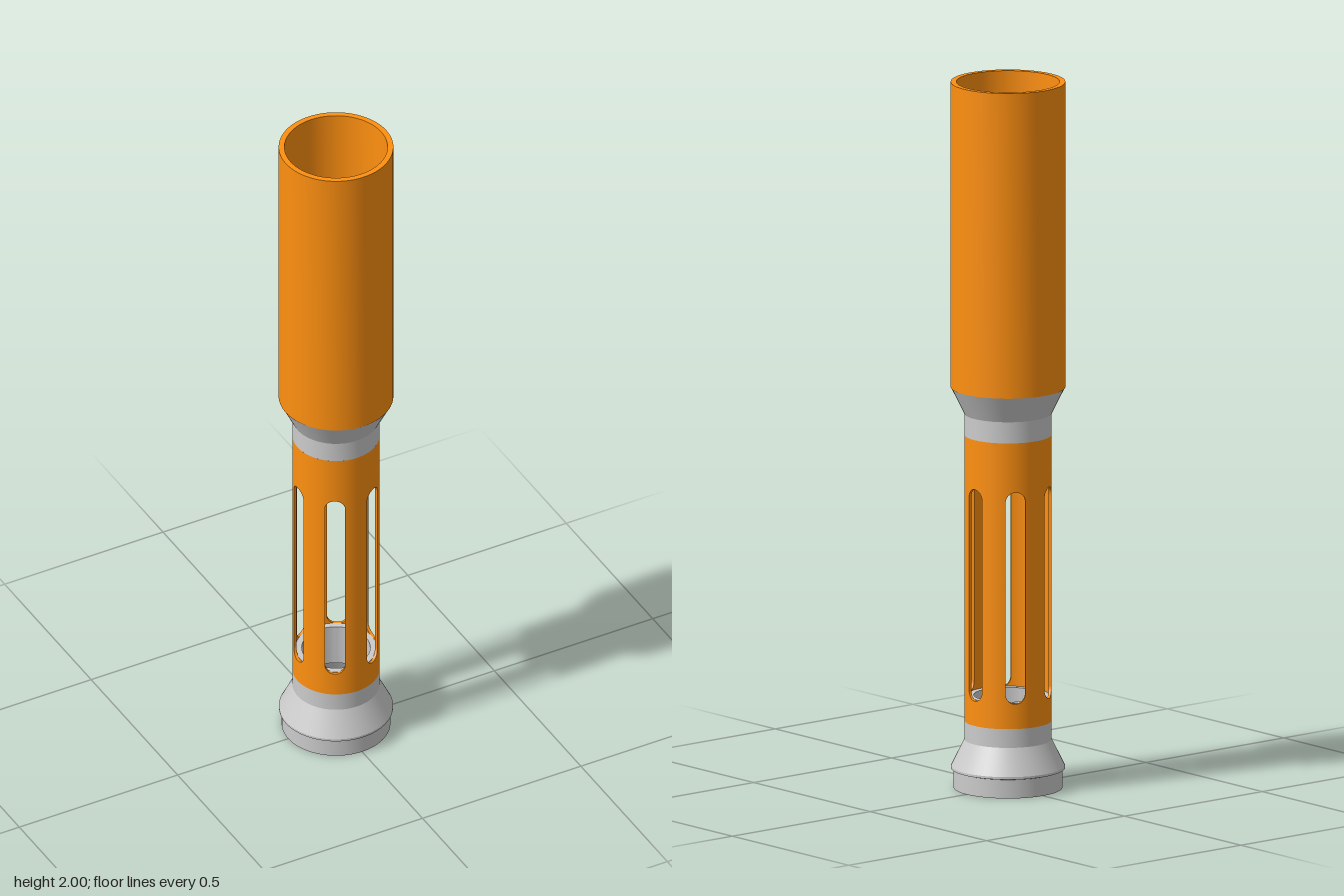
import * as THREE from 'three';
import { toCreasedNormals } from 'three/addons/utils/BufferGeometryUtils.js';

const orange = new THREE.MeshStandardMaterial({ color: 0xff9010 });
const grey = new THREE.MeshStandardMaterial({ color: 0xcccccc });

const OUTER = 0.121, INNER = 0.113;          // slotted tube radii
const BOTTOM = 0.19, TOP = 1.0;              // slotted tube ends
const SLOT_LOW = 0.26, SLOT_HIGH = 0.86, HALF = 0.028;

// Closed ring turned from a profile (outer side upward, inner side downward)
function turned(name, material, profile) {
  const points = [...profile, profile[0]].map(([r, y]) => new THREE.Vector2(r, y));
  const mesh = new THREE.Mesh(toCreasedNormals(new THREE.LatheGeometry(points, 72), 0.3), material);
  mesh.name = name;
  return mesh;
}

// Box bent round the y axis; angleAt(s, r) and the two height rules take s in -1..1
function bentPanel(name, angleAt, lowAt, highAt) {
  const geo = new THREE.BoxGeometry(2, 1, 1, 12, 1, 1);
  const pos = geo.attributes.position;
  const faceZ = Array.from({ length: pos.count }, (_, i) => geo.attributes.normal.getZ(i));
  const angles = [];
  for (let i = 0; i < pos.count; i++) {
    const s = Math.sin(pos.getX(i) * Math.PI / 2);
    const r = pos.getZ(i) > 0 ? OUTER : INNER;
    const a = angles[i] = angleAt(s, r);
    pos.setXYZ(i, r * Math.sin(a), pos.getY(i) > 0 ? highAt(s) : lowAt(s), r * Math.cos(a));
  }
  geo.computeVertexNormals();
  // Round faces get radial normals so that neighbouring panels blend
  faceZ.forEach((d, i) => {
    if (Math.abs(d) > 0.5) geo.attributes.normal.setXYZ(i, d * Math.sin(angles[i]), 0, d * Math.cos(angles[i]));
  });
  const mesh = new THREE.Mesh(geo, orange);
  mesh.name = name;
  return mesh;
}

function slottedTube() {
  const tube = new THREE.Group();
  tube.name = 'slottedTube';
  const slotAngle = (s, r) => Math.asin(HALF * s / r);
  const barAngle = (s, r) => Math.PI / 6 + s * (Math.PI / 6 - Math.asin(HALF / r));
  const arc = s => HALF * Math.sqrt(Math.max(0, 1 - s * s));
  for (let i = 0; i < 6; i++) {
    const sector = new THREE.Group();
    sector.name = 'tubeSector';
    sector.add(
      bentPanel('bar', barAngle, () => BOTTOM, () => TOP),
      bentPanel('wallBelowSlot', slotAngle, () => BOTTOM, s => SLOT_LOW + HALF - arc(s)),
      bentPanel('wallAboveSlot', slotAngle, s => SLOT_HIGH - HALF + arc(s), () => TOP));
    sector.rotation.y = Math.PI / 2 + i * Math.PI / 3;
    tube.add(sector);
  }
  return tube;
}

export function createModel() {
  const model = new THREE.Group();
  model.name = 'slottedTubeAssembly';

  model.add(turned('upperTube', orange, [[0.143, 1.135], [0.159, 1.135], [0.159, 2], [0.143, 2]]));

  // Flared collar with a sleeve reaching down into the slotted tube
  model.add(turned('upperCollar', grey, [
    [0.095, 0.94], [0.1125, 0.94], [0.1125, TOP], [0.121, TOP], [0.121, 1.06], [0.158, 1.135],
    [0.143, 1.135], [0.113, 1.06], [0.095, 1.06]]));

  model.add(slottedTube());

  // Flared foot with a lip, an open cup below and a sleeve reaching up
  model.add(turned('lowerCollar', grey, [
    [0.143, 0], [0.151, 0], [0.151, 0.053], [0.158, 0.055], [0.158, 0.062], [0.121, 0.137],
    [0.121, BOTTOM], [0.1125, BOTTOM], [0.1125, 0.262], [0.095, 0.262],
    [0.095, 0.137], [0.113, 0.137], [0.143, 0.06]]));

  return model;
}
